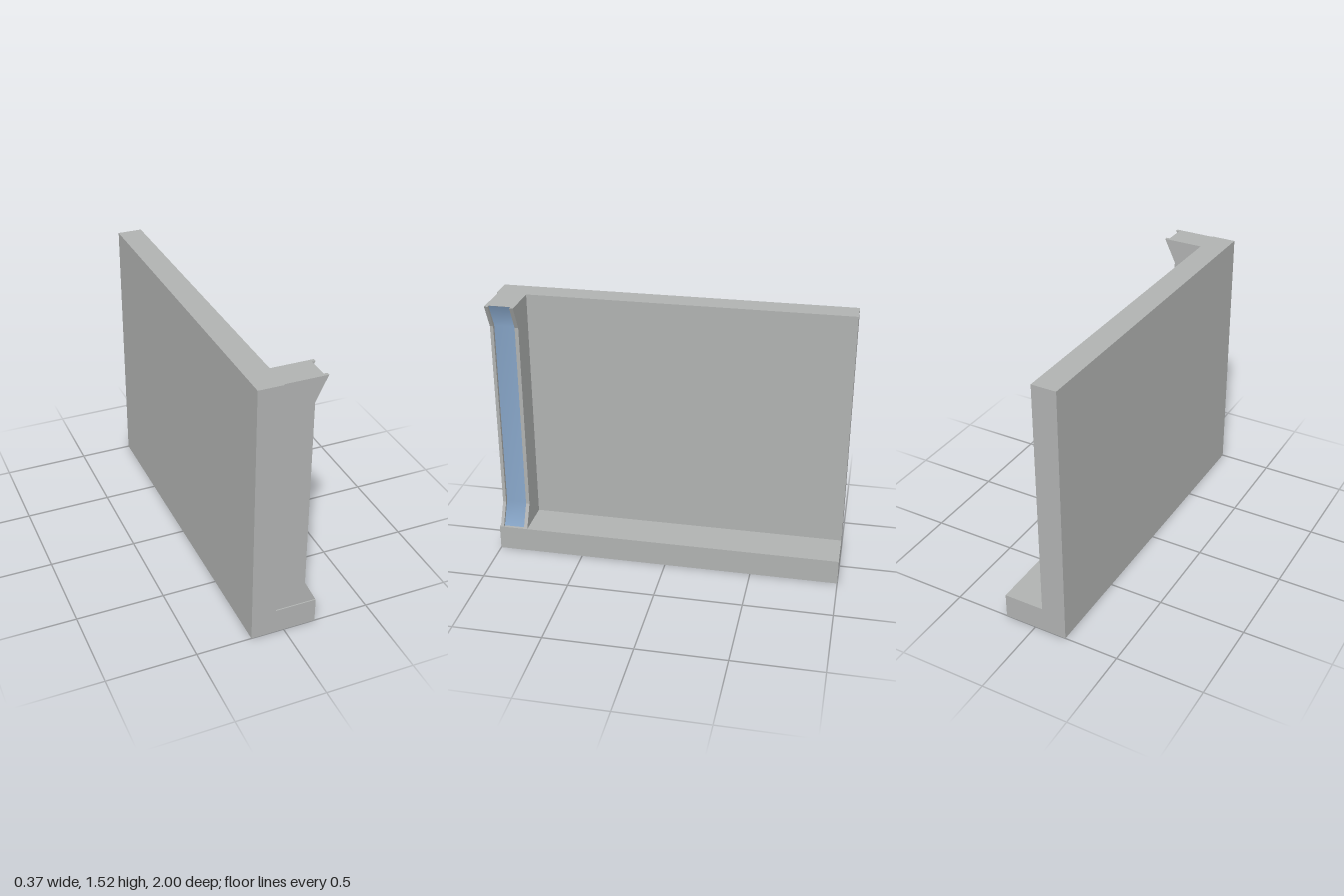
import * as THREE from 'three';

export function createModel() {
  const group = new THREE.Group();
  const grey = new THREE.MeshStandardMaterial({ color: 0xb0b2b1 });
  grey.name = 'wall grey';
  const blue = new THREE.MeshStandardMaterial({ color: 0x86a4c6 });
  blue.name = 'groove blue';

  const add = (name, geometry, material) => {
    const mesh = new THREE.Mesh(geometry, material);
    mesh.name = name;
    group.add(mesh);
  };
  // Extrude a side outline along z between two depths
  const slab = (name, points, z0, z1) => {
    const shape = new THREE.Shape(points.map(([x, y]) => new THREE.Vector2(x, y)));
    const geometry = new THREE.ExtrudeGeometry(shape, { depth: z1 - z0, bevelEnabled: false });
    add(name, geometry.translate(0, 0, z0), grey);
  };

  const left = -0.188, inner = -0.048, right = 0.185;
  const floor = 0.145, top = 1.525;

  // L-shaped wall and base
  slab('wallAndBase', [[left, 0], [right, 0], [right, floor], [inner, floor], [inner, top], [left, top]], -1, 1);

  // Waisted edge of the front post, optionally set back
  const edge = (back) => [[right, floor], [0.118, 0.28], [0.118, 1.388], [right, top]]
    .map(([x, y]) => [x - back, y]);
  const post = (back) => [[inner, floor], ...edge(back), [inner, top]];
  const lip = (back) => [...edge(0), ...edge(back).reverse()];

  // Post with two raised lips bordering a shallow groove
  const z0 = 0.83, z1 = 0.993, g0 = 0.851, g1 = 0.974, depth = 0.02;
  slab('postCore', post(depth), z0, z1);
  slab('rearLip', lip(depth), z0, g0);
  slab('frontLip', lip(depth), g1, z1);

  // Smooth coloured strip on the groove floor
  const positions = [], index = [];
  edge(depth - 0.002).forEach(([x, y], i) => {
    positions.push(x, y, g1, x, y, g0);
    if (i > 0) {
      const a = 2 * (i - 1);
      index.push(a, a + 1, a + 3, a, a + 3, a + 2);
    }
  });
  const strip = new THREE.BufferGeometry();
  strip.setAttribute('position', new THREE.Float32BufferAttribute(positions, 3));
  strip.setIndex(index);
  strip.computeVertexNormals();
  add('grooveStrip', strip, blue);

  return group;
}
